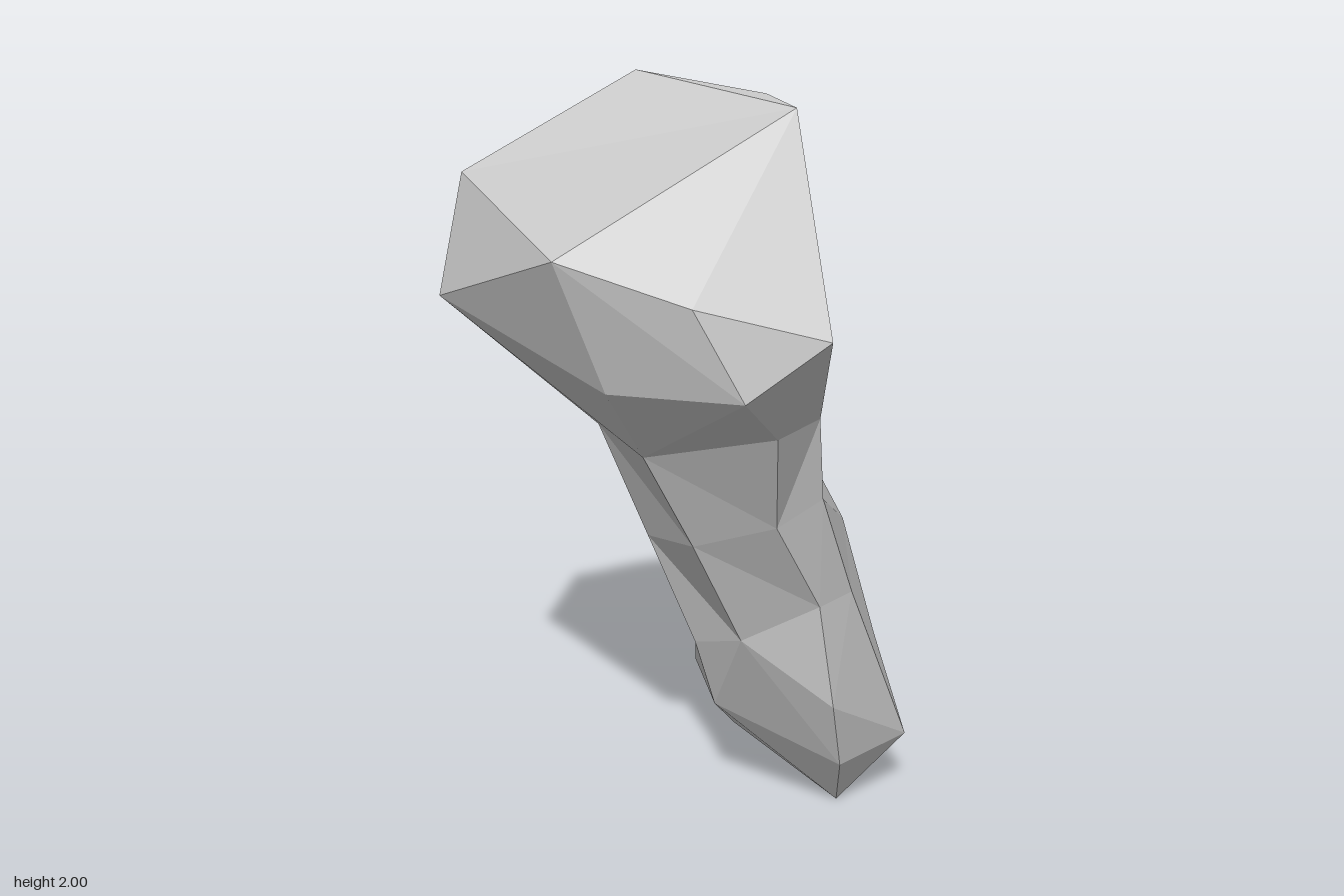
import * as THREE from 'three';
import { ConvexGeometry } from 'three/addons/geometries/ConvexGeometry.js';

const vectors = (points) => points.map((p) => new THREE.Vector3(...p));

// Sections of the shaft, counter-clockwise from the front as seen from above.
const neck = vectors([
  [0.04, 1.2, 0.3], [0.32, 1.28, 0.16], [0.25, 1.25, -0.06],
  [-0.06, 1.34, -0.15], [-0.345, 1.25, -0.01], [-0.32, 1.13, 0.11],
]);
neck.push(neck[5]); // the two front corners on the right meet here
const waist = vectors([
  [0.045, 0.93, 0.15], [0.22, 1.0, 0.05], [0.23, 1.03, -0.1],
  [0.09, 0.86, -0.34], [-0.26, 0.88, -0.235], [-0.3, 0.87, -0.04], [-0.22, 0.84, 0.045],
]);
const ankle = vectors([
  [0.05, 0.62, -0.01], [0.21, 0.73, -0.12], [0.21, 0.73, -0.24],
  [0.14, 0.52, -0.42], [-0.18, 0.52, -0.46], [-0.28, 0.59, -0.19], [-0.12, 0.55, -0.02],
]);

// Outer corners of the two faceted knobs; the first five head corners frame the crown.
const headCorners = vectors([
  [0.27, 1.98, 0.06], [0.14, 1.985, 0.013], [-0.45, 1.72, 0.06], [-0.53, 1.63, 0.11], [-0.52, 1.76, 0.33],
  [0.08, 1.72, 0.58], [0.35, 1.65, 0.45], [0.53, 1.57, 0.23], // brow
  [-0.5, 1.49, 0.43], [0.12, 1.42, 0.48], [0.43, 1.45, 0.38], // lower rim
  [-0.47, 1.41, 0.34], [-0.41, 1.34, 0.21],
]);
const crownPeak = new THREE.Vector3(-0.2, 2, 0.075);
const footCorners = vectors([
  [-0.12, 0.34, -0.09], [0.22, 0.43, -0.17], [0.18, 0.21, -0.25], [0.21, 0.22, -0.48], // front and left
  [-0.13, 0.24, -0.58], [-0.29, 0.2, -0.54], [-0.37, 0.21, -0.36], [-0.34, 0.33, -0.24], // back and right
  [-0.13, 0.14, -0.58], [-0.27, 0.04, -0.46], [-0.31, 0.09, -0.36], [0.07, 0, -0.37], // underside
]);

// Joins sections, lowest first, into an open faceted tube.
function loft(sections) {
  const triangles = [];
  for (let s = 0; s < sections.length - 1; s++) {
    const low = sections[s], high = sections[s + 1];
    for (let i = 0; i < low.length; i++) {
      const j = (i + 1) % low.length;
      const a = low[i], b = low[j], c = high[j], d = high[i];
      // split each quad along its shorter diagonal
      if (a.distanceTo(c) < b.distanceTo(d)) triangles.push(a, b, c, a, c, d);
      else triangles.push(a, b, d, b, c, d);
    }
  }
  const geometry = new THREE.BufferGeometry().setFromPoints(triangles);
  geometry.computeVertexNormals();
  return geometry;
}

export function createModel() {
  const group = new THREE.Group();
  group.name = 'leaningRock';
  const stone = new THREE.MeshStandardMaterial({ color: 0xcccccc, flatShading: true });
  stone.name = 'stone grey';

  const addPart = (name, geometry) => {
    const mesh = new THREE.Mesh(geometry, stone);
    mesh.name = name;
    group.add(mesh);
  };
  addPart('head', new ConvexGeometry([...headCorners, ...neck.slice(0, 6)]));
  addPart('crown', new ConvexGeometry([crownPeak, ...headCorners.slice(0, 5)]));
  addPart('shaft', loft([ankle, waist, neck]));
  addPart('foot', new ConvexGeometry([...footCorners, ...ankle]));
  return group;
}
